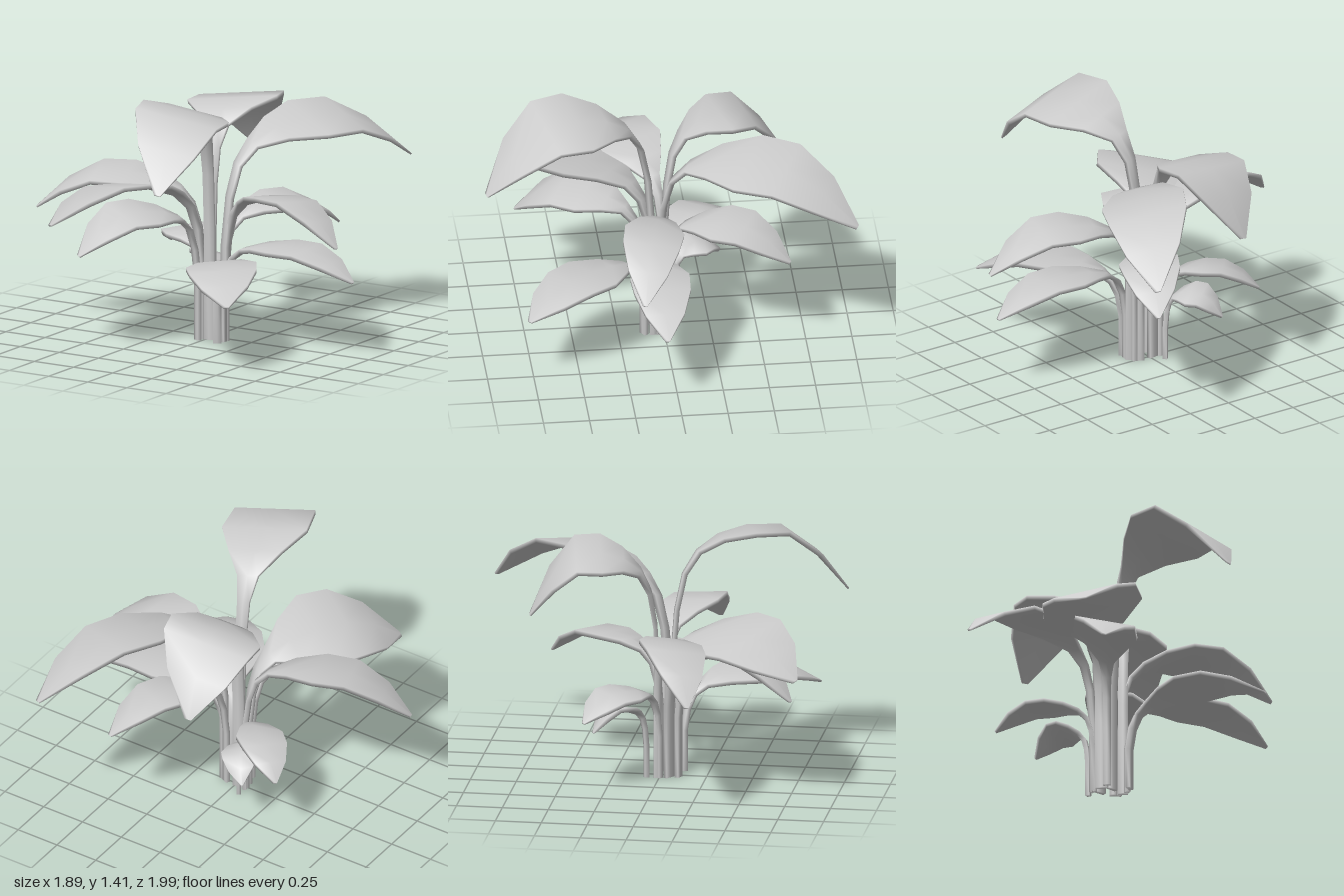
import * as THREE from 'three';

// Blade stations: [reach fraction, height fraction of the peak, width fraction]
const STATIONS = [
  [0, 0, 0.12], [0, 0.45, 0.12], [0.025, 0.68, 0.12], [0.07, 0.83, 0.14],
  [0.15, 0.92, 0.24], [0.28, 0.975, 0.62], [0.45, 1, 1], [0.64, 1, 0.95],
  [0.83, null, 0.65], [1, null, 0.07],
];
const THICKNESS = 0.024;

// Leaves: base x, z; tip x, y, z; peak height; half width; sideways tilt
const LEAVES = [
  ['tallBackLeftLeaf', 0.1, 0.03, 0.63, 0.9, -0.99, 1.16, 0.22, 0.23],
  ['tallBackLeaf', -0.02, -0.01, -0.14, 0.91, -0.69, 1.24, 0.26, -0.13],
  ['tallFrontLeaf', 0.02, 0.06, 0.27, 1.01, 0.98, 1.35, 0.24, -0.19],
  ['frontRightLeaf', -0.04, 0.05, -0.52, 0.71, 0.81, 0.88, 0.265, 0.2],
  ['rightLeaf', -0.06, -0.01, -0.94, 0.66, 0.28, 0.87, 0.17, -0.15],
  ['leftLeaf', 0.09, 0.01, 0.91, 0.64, 0.19, 0.84, 0.16, -0.12],
  ['lowLeftLeaf', 0.11, 0.06, 0.94, 0.43, 0.07, 0.565, 0.16, 0.03],
  ['lowFrontLeftLeaf', 0.1, 0.11, 0.585, 0.39, 0.78, 0.51, 0.19, 0.07],
  ['innerFrontRightLeaf', -0.03, 0.1, -0.37, 0.55, 0.76, 0.74, 0.17, -0.2],
  ['innerBackLeftLeaf', 0.06, -0.01, 0.39, 0.56, -0.65, 0.72, 0.16, 0.12],
  ['lowBackRightLeaf', -0.06, 0, -0.48, 0.41, -0.35, 0.52, 0.13, -0.1],
  ['smallBackRightLeaf', -0.06, -0.07, -0.25, 0.29, -0.33, 0.4, 0.1, 0.25],
];

// Corners of each cross-section: [across, up], upper side then lower side
const RING = [[-1, 1], [0, 1], [1, 1], [1, -1], [0, -1], [-1, -1]];

// One arching solid ribbon: narrow upright stem flowing into a broad drooping blade
function leafGeometry(bx, bz, tx, ty, tz, peak, halfWidth, tilt) {
  const reach = Math.hypot(tx - bx, tz - bz);
  const dx = (tx - bx) / reach;
  const dz = (tz - bz) / reach;
  const last = STATIONS.length - 1;
  const spine = STATIONS.map(([u, h], i) => {
    const y = i === last ? ty : h === null ? peak - (peak - ty) * 0.4 : h * peak;
    return new THREE.Vector3(bx + (tx - bx) * u, y, bz + (tz - bz) * u);
  });

  const positions = [];
  const index = [];
  const n = RING.length;
  spine.forEach((p, i) => {
    // The tilt applies to the blade, while the foot stays level
    const across = new THREE.Vector3(dz, i === 0 ? 0 : tilt, -dx);
    const tangent = spine[Math.min(i + 1, last)].clone().sub(spine[Math.max(i - 1, 0)]);
    const up = tangent.cross(across).normalize();
    const half = STATIONS[i][2] * halfWidth;
    const thick = (i === last ? 0.4 : 1) * THICKNESS / 2;
    for (const [s, t] of RING) {
      const v = p.clone().addScaledVector(across, s * half).addScaledVector(up, t * thick);
      positions.push(v.x, v.y, v.z);
    }
    if (i === last) return;
    for (let j = 0; j < n; j++) {
      const a = i * n + j;
      const b = i * n + (j + 1) % n;
      index.push(a, b + n, b, a, a + n, b + n);
    }
  });
  // Close the foot and the tip
  const end = last * n;
  for (let k = 1; k < n - 1; k++) index.push(0, k, k + 1, end, end + k + 1, end + k);

  const geometry = new THREE.BufferGeometry();
  geometry.setAttribute('position', new THREE.Float32BufferAttribute(positions, 3));
  geometry.setIndex(index);
  geometry.computeVertexNormals();
  return geometry;
}

export function createModel() {
  const plant = new THREE.Group();
  plant.name = 'leafyPlant';
  const material = new THREE.MeshStandardMaterial({ color: 0xcccccc });
  for (const [name, ...shape] of LEAVES) {
    const leaf = new THREE.Mesh(leafGeometry(...shape), material);
    leaf.name = name;
    plant.add(leaf);
  }
  return plant;
}
